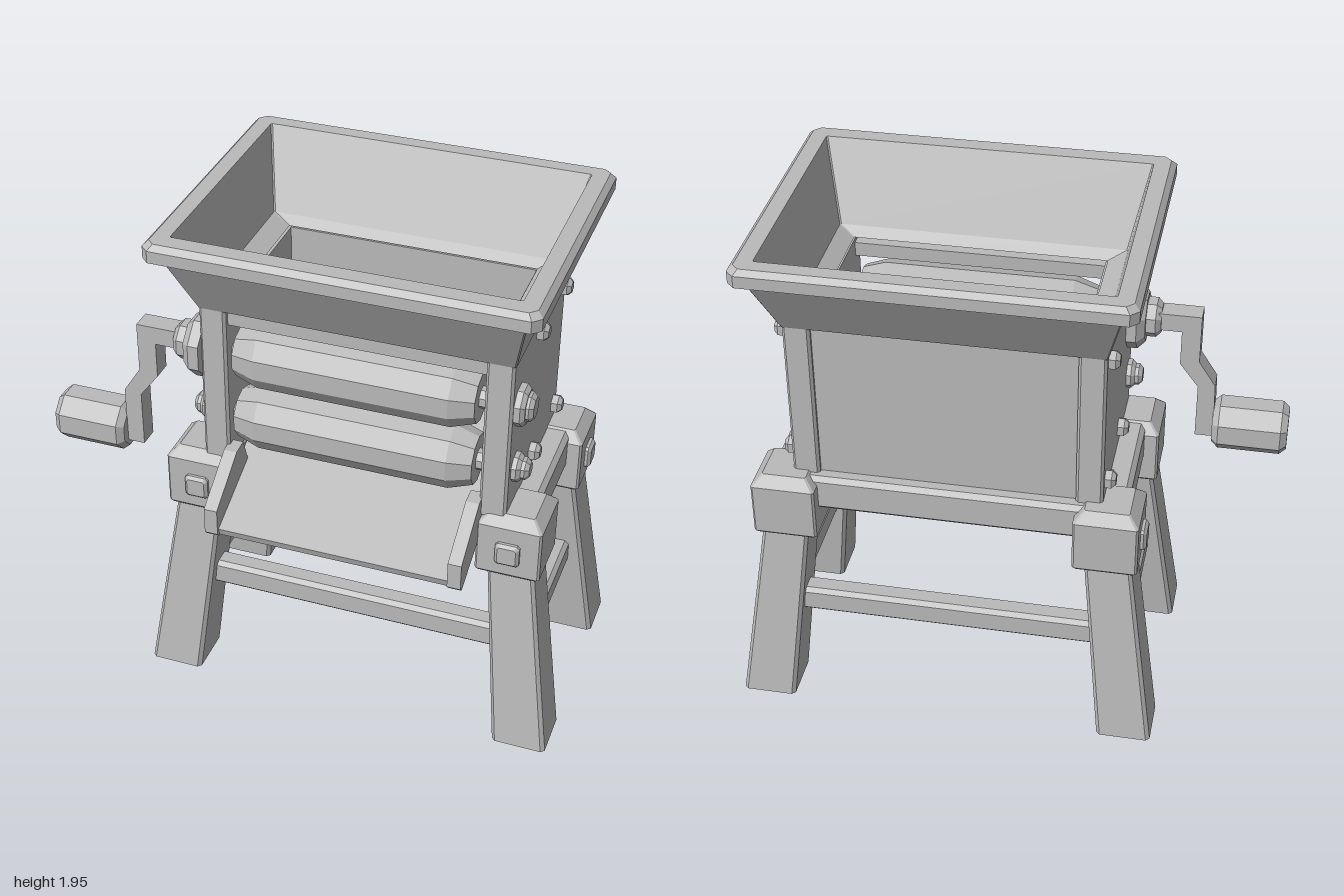
import * as THREE from 'three';

const CX = 0.197; // centre of the machine body in x (the crank sticks out to -x)
const CZ = -0.02;

// Lofts eight-cornered rectangles [y, x0, x1, z0, z1, chamfer] from bottom to top
function loft(sections, ring = false) {
  const loops = sections.map(([y, x0, x1, z0, z1, c]) => [
    [x1, z1 - c], [x1, z0 + c], [x1 - c, z0], [x0 + c, z0],
    [x0, z0 + c], [x0, z1 - c], [x0 + c, z1], [x1 - c, z1],
  ].map(([x, z]) => [x, y, z]));
  if (ring) loops.push(loops[0]);
  const pos = [];
  const tri = (...pts) => pts.forEach((p) => pos.push(...p));
  for (let k = 0; k < loops.length - 1; k++) {
    const a = loops[k], b = loops[k + 1];
    for (let i = 0; i < 8; i++) {
      const j = (i + 1) % 8;
      tri(a[i], a[j], b[j]);
      tri(a[i], b[j], b[i]);
    }
  }
  if (!ring) {
    const a = loops[0], b = loops[loops.length - 1];
    for (let i = 1; i < 7; i++) {
      tri(a[0], a[i + 1], a[i]);
      tri(b[0], b[i], b[i + 1]);
    }
  }
  const g = new THREE.BufferGeometry();
  g.setAttribute('position', new THREE.Float32BufferAttribute(pos, 3));
  g.computeVertexNormals();
  return g;
}

// Turned part: profile of [radius, distance], flat faceted, pointing up +y
function turned(profile, sides) {
  const pts = profile.map(([r, y]) => new THREE.Vector2(r, y));
  const g = new THREE.LatheGeometry(pts, sides, Math.PI / sides).toNonIndexed();
  g.computeVertexNormals();
  return g;
}

// Bolt or boss with a bevelled outer end
const boss = (r, h, sides, bevel = 0.015) =>
  turned([[0, 0], [r, 0], [r, h - bevel], [r - bevel, h], [0, h]], sides);

export function createModel() {
  const model = new THREE.Group();
  const metal = new THREE.MeshStandardMaterial({ color: 0xbababa, flatShading: true });
  metal.name = 'plain grey';

  const add = (name, geometry, x = 0, y = 0, z = 0) => {
    const m = new THREE.Mesh(geometry, metal);
    m.name = name;
    m.position.set(x, y, z);
    model.add(m);
    return m;
  };
  const box = (name, x0, x1, y0, y1, z0, z1) =>
    add(name, new THREE.BoxGeometry(x1 - x0, y1 - y0, z1 - z0),
      (x0 + x1) / 2, (y0 + y1) / 2, (z0 + z1) / 2);
  const side = (g, s) => g.rotateZ(-s * Math.PI / 2); // points a part along s * x

  // Hopper with its thick rim, hollow inside
  add('hopper', loft([
    [1.615, -0.38, 0.775, -0.37, 0.335, 0.005],
    [1.88, -0.445, 0.838, -0.53, 0.488, 0.005],
    [1.88, -0.5, 0.89, -0.565, 0.53, 0.03],
    [1.925, -0.5, 0.89, -0.565, 0.53, 0.03],
    [1.945, -0.48, 0.87, -0.547, 0.51, 0.025],
    [1.945, -0.42, 0.81, -0.49, 0.445, 0.005],
    [1.66, -0.355, 0.735, -0.34, 0.3, 0.005],
    [1.625, -0.285, 0.675, -0.315, 0.27, 0.002],
  ], true));

  // Housing: side walls, back panel, front crossbar
  for (const s of [-1, 1]) {
    const a = CX + s * 0.475, b = CX + s * 0.575;
    add('sideWall', loft([
      [0.98, Math.min(a, b), Math.max(a, b), -0.37, 0.335, 0.01],
      [1.62, Math.min(a, b), Math.max(a, b), -0.37, 0.335, 0.01],
    ]));
  }
  box('backPanel', -0.29, 0.68, 0.98, 1.62, -0.35, -0.315);
  box('frontCrossbar', -0.29, 0.68, 1.55, 1.605, 0.265, 0.31);

  // Pair of rollers on axles
  for (const y of [1.417, 1.155]) {
    const roller = turned([[0, -0.448], [0.095, -0.448], [0.124, -0.36],
      [0.124, 0.36], [0.095, 0.448], [0, 0.448]], 10);
    add('roller', side(roller, 1), CX - 0.005, y, 0.25);
    add('axle', side(turned([[0.04, -0.5], [0.04, 0.5]], 8), 1), CX, y, 0.25);
  }

  // Bearings and wall bolts
  for (const s of [-1, 1]) {
    const x = CX + s * 0.572;
    const upper = s > 0 ? boss(0.078, 0.04, 8) : boss(0.125, 0.07, 8, 0.03);
    add('upperBearing', side(upper, s), x, 1.417, 0.25);
    add('upperBearingCap', side(s > 0 ? boss(0.055, 0.065, 8) : boss(0.075, 0.125, 8, 0.02), s),
      x, 1.417, 0.25);
    add('lowerBearing', side(boss(0.056, 0.035, 8), s), x, 1.155, 0.25);
    add('lowerBearingCap', side(boss(0.042, 0.062, 8), s), x, 1.155, 0.25);
    for (const y of [1.58, 1.068])
      for (const z of [0.017, -0.31]) add('wallBolt', side(boss(0.037, 0.042, 6), s), x, y, z);
  }

  // Crank arm and handle
  const arm = new THREE.Shape([
    [-0.48, 1.46], [-0.65, 1.46], [-0.65, 1.265], [-0.715, 1.165], [-0.72, 0.935],
    [-0.65, 0.935], [-0.65, 1.155], [-0.578, 1.25], [-0.578, 1.39], [-0.48, 1.39],
  ].map(([x, y]) => new THREE.Vector2(x, y)));
  add('crankArm', new THREE.ExtrudeGeometry(arm, { depth: 0.08, bevelEnabled: false }), 0, 0, 0.205);
  add('crankHandle', side(turned([[0, 0], [0.082, 0], [0.104, 0.025], [0.104, 0.26],
    [0.082, 0.285], [0, 0.285]], 8), 1), -1, 0.982, 0.243);

  // Sloping chute with two cheeks
  const extrudeAlongX = (pts, width) => {
    const shape = new THREE.Shape(pts.map(([z, y]) => new THREE.Vector2(-z, y)));
    return new THREE.ExtrudeGeometry(shape, { depth: width, bevelEnabled: false })
      .rotateY(Math.PI / 2);
  };
  add('chutePlate', extrudeAlongX(
    [[0.555, 0.83], [-0.33, 1.2], [-0.33, 1.17], [0.545, 0.8]], 0.93), CX - 0.465);
  for (const x of [-0.288, 0.632])
    add('chuteCheek', extrudeAlongX([[0.3, 1.05], [0.365, 1.045], [0.565, 0.915],
      [0.565, 0.812], [0.548, 0.795], [0.25, 0.92]], 0.05), x);

  // Corner blocks, tapered splayed legs and square studs
  for (const s of [-1, 1]) {
    for (const t of [-1, 1]) {
      const bx = CX + s * 0.598, bz = t > 0 ? 0.245 : -0.34;
      const rect = (y, x, z, h, c) => [y, x - h, x + h, z - h, z + h, c];
      add('cornerBlock', loft([
        rect(0.75, bx, bz, 0.112, 0.008), rect(0.76, bx, bz, 0.12, 0.008),
        rect(0.96, bx, bz, 0.12, 0.008), rect(1.0, bx, bz, 0.082, 0.006),
      ]));
      add('leg', loft([
        rect(0, CX + s * 0.7, t > 0 ? 0.323 : -0.42, 0.103, 0.014),
        rect(0.8, bx + s * 0.003, t > 0 ? 0.252 : -0.338, 0.086, 0.012),
      ]));
      const stud = loft([rect(0, 0, 0, 0.045, 0.01), rect(0.013, 0, 0, 0.045, 0.01),
        rect(0.024, 0, 0, 0.034, 0.007)]);
      if (t > 0) add('frontStud', stud.rotateX(Math.PI / 2), bx, 0.855, bz + 0.118);
      else add('sideStud', side(stud, s), bx + s * 0.118, 0.855, bz);
    }
  }

  // Upper rails between the blocks, lower stretchers between the legs
  const beam = (length, height, depth, c) => loft([
    [-length / 2, -height / 2, height / 2, -depth / 2, depth / 2, c],
    [length / 2, -height / 2, height / 2, -depth / 2, depth / 2, c],
  ]).rotateZ(-Math.PI / 2);
  add('backRail', beam(1.1, 0.145, 0.13, 0.018), CX, 0.92, -0.34);
  for (const z of [0.283, -0.385]) add('longStretcher', beam(1.2, 0.105, 0.09, 0.016), CX, 0.42, z);
  for (const s of [-1, 1]) {
    add('sideRail', beam(0.5, 0.145, 0.13, 0.018).rotateY(Math.PI / 2), CX + s * 0.598, 0.92, -0.05);
    add('sideStretcher', beam(0.62, 0.105, 0.09, 0.016).rotateY(Math.PI / 2),
      CX + s * 0.645, 0.405, -0.05);
  }
  return model;
}
